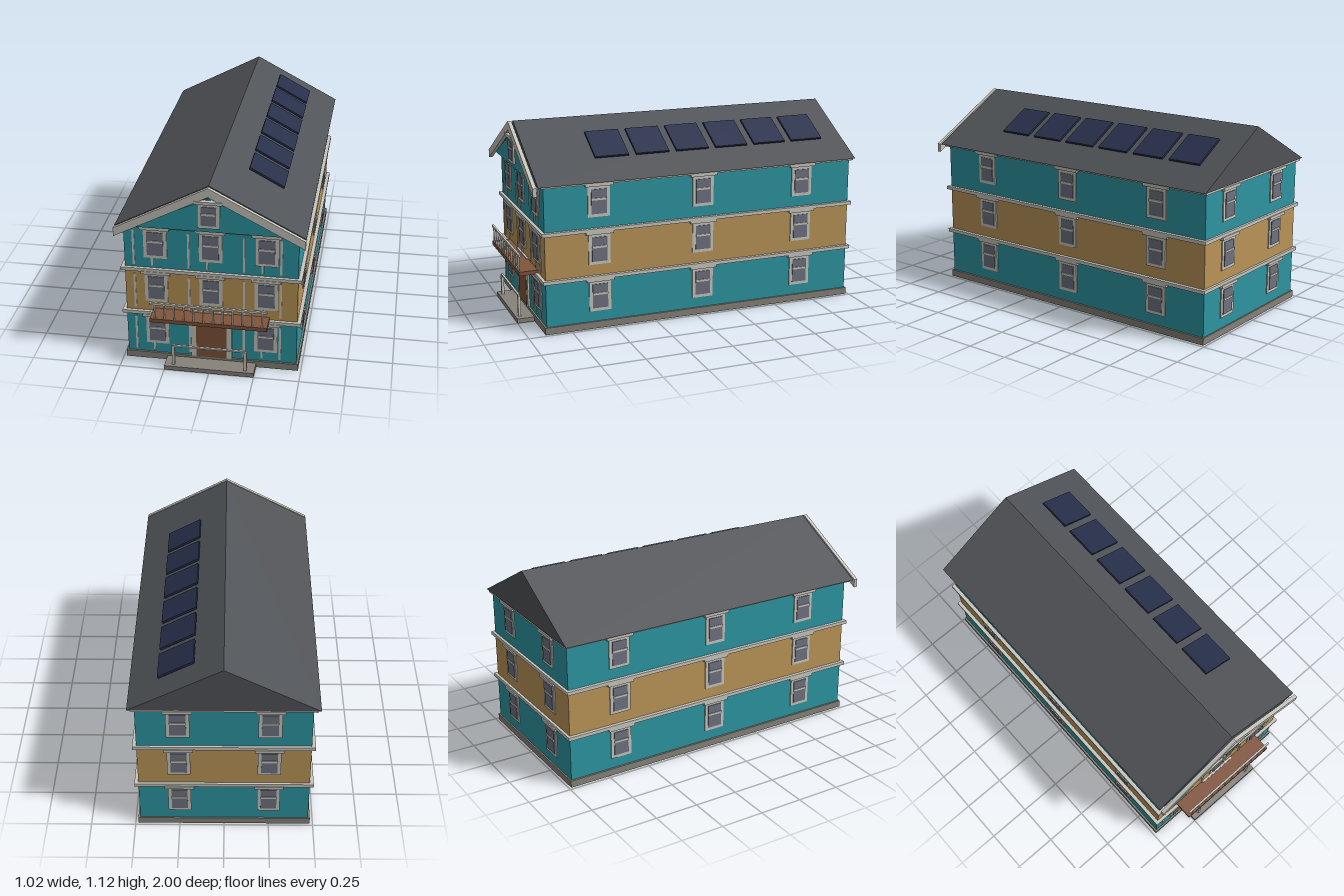
import * as THREE from 'three';

const material = (name, color) => {
  const m = new THREE.MeshStandardMaterial({ color });
  m.name = name;
  return m;
};

export function createModel() {
  const house = new THREE.Group();
  house.name = 'house';
  const teal = material('teal siding', 0x2d96a3);
  const tan = material('tan siding', 0xbb9557);
  const trim = material('pale trim', 0xc8c6be);
  const slate = material('slate roof', 0x505357);
  const wood = material('brown wood', 0x80543a);
  const glass = material('window glass', 0x6f7380);
  const solar = material('solar blue', 0x272f4a);
  const stone = material('stone', 0x87837a);

  // Box given by its min and max corners
  function box(name, mat, [x0, y0, z0], [x1, y1, z1], parent = house) {
    const mesh = new THREE.Mesh(new THREE.BoxGeometry(x1 - x0, y1 - y0, z1 - z0), mat);
    mesh.position.set((x0 + x1) / 2, (y0 + y1) / 2, (z0 + z1) / 2);
    mesh.name = name;
    parent.add(mesh);
    return mesh;
  }

  // Outline in x and y, extruded from z0 to z1
  function slab(name, mat, points, z0, z1) {
    const shape = new THREE.Shape(points.map(([x, y]) => new THREE.Vector2(x, y)));
    const geo = new THREE.ExtrudeGeometry(shape, { depth: z1 - z0, bevelEnabled: false });
    const mesh = new THREE.Mesh(geo, mat);
    mesh.position.z = z0;
    mesh.name = name;
    house.add(mesh);
  }

  // Window with its sill at the origin, facing +z before turning
  function addWindow(x, y, z, turn, w = 0.127, h = 0.176, headW = 0.16) {
    const g = new THREE.Group();
    g.name = 'window';
    const gw = w / 2 - 0.019;
    box('windowFrame', trim, [-w / 2, 0, -0.004], [w / 2, h, 0.006], g);
    box('windowGlass', glass, [-gw, 0.018, 0.004], [gw, h - 0.018, 0.01], g);
    box('sashBar', trim, [-gw, h / 2 - 0.005 + 0.013 * (h / 0.176), 0.004], [gw, h / 2 + 0.007 + 0.013 * (h / 0.176), 0.014], g);
    box('windowHead', trim, [-headW / 2, h, -0.004], [headW / 2, h + 0.017, 0.021], g);
    g.position.set(x, y, z);
    g.rotation.y = turn;
    house.add(g);
  }

  const W = 0.473, FRONT = 0.89, BACK = -0.978;

  // Foundation and three storeys
  box('foundation', stone, [-0.484, 0, -0.986], [0.484, 0.04, 0.9]);
  const levels = [0.04, 0.301, 0.574, 0.848];
  [teal, tan, teal].forEach((mat, i) =>
    box('storeyWall', mat, [-W, levels[i], BACK], [W, levels[i + 1], FRONT]));

  // Belt courses
  for (const [y0, y1] of [[0.292, 0.312], [0.565, 0.585], [0.836, 0.849]]) {
    box('beltCourse', trim, [-0.494, y0, -0.993], [0.494, y1, 0.908]);
  }

  // Windows and front battens on each storey
  for (let floor = 0; floor < 3; floor++) {
    const y = 0.102 + floor * 0.273;
    for (const x of floor ? [-0.302, 0, 0.302] : [-0.302, 0.302]) addWindow(x, y, FRONT, 0);
    for (const x of [-0.247, 0.247]) addWindow(x, y, BACK, Math.PI);
    for (const z of [0.578, -0.042, -0.664]) {
      for (const s of [-1, 1]) addWindow(s * W, y, z, s * Math.PI / 2);
    }
    for (const x of [-0.422, -0.322, -0.121, -0.02, 0.18, 0.28, 0.38]) {
      if (floor === 0 && x === -0.02) continue;
      const y0 = 0.058 + floor * 0.271;
      box('batten', trim, [x - 0.006, y0, FRONT - 0.002], [x + 0.006, y0 + 0.212, FRONT + 0.004]);
    }
  }

  // Solid roof, front gable and bargeboards
  slab('roof', slate, [[-0.512, 0.849], [0.512, 0.849], [0, 1.12]], -0.998, 0.926);
  slab('gableWall', teal, [[-0.42, 0.855], [0.42, 0.855], [0, 1.05]], 0.925, 0.937);
  slab('bargeboards', trim, [[-0.512, 0.8], [0, 1.068], [0.512, 0.8], [0.512, 0.849], [0, 1.12], [-0.512, 0.849]], 0.935, 0.957);
  addWindow(0, 0.88, 0.941, 0, 0.12, 0.145, 0.15);

  // Solar panels above the left slope
  for (let i = 0; i < 6; i++) {
    const panel = new THREE.Mesh(new THREE.BoxGeometry(0.22, 0.012, 0.198), solar);
    panel.name = 'solarPanel';
    panel.position.set(0.255, 1.004, -0.754 + i * 0.242);
    panel.rotation.z = -0.5;
    house.add(panel);
  }

  // Front door
  box('door', wood, [-0.085, 0.04, FRONT - 0.01], [0.085, 0.293, FRONT + 0.012]);
  for (const s of [-1, 1]) {
    const jamb = box('doorJamb', trim, [-0.014, 0.04, FRONT - 0.004], [0.014, 0.295, FRONT + 0.01]);
    jamb.position.x = s * 0.099;
  }
  box('doorHead', trim, [-0.115, 0.293, FRONT - 0.004], [0.115, 0.335, FRONT + 0.012]);

  // Entry step with its handrail
  box('entryStep', stone, [-0.25, 0, 0.88], [0.25, 0.026, 1]);
  for (const x of [-0.2, 0.2]) {
    box('handrailPost', trim, [x - 0.008, 0.026, 0.967], [x + 0.008, 0.146, 0.983]);
  }
  box('handrail', trim, [-0.2, 0.143, 0.969], [0.2, 0.153, 0.981]);

  // Balcony with balusters
  box('balconyDeck', wood, [-0.321, 0.305, 0.885], [0.321, 0.328, 1]);
  box('balconyRail', trim, [-0.321, 0.415, 0.987], [0.321, 0.428, 0.999]);
  for (let i = 0; i < 12; i++) {
    const x = -0.293 + i * 0.0533;
    box('baluster', trim, [x - 0.004, 0.328, 0.989], [x + 0.004, 0.416, 0.997]);
  }

  return house;
}
